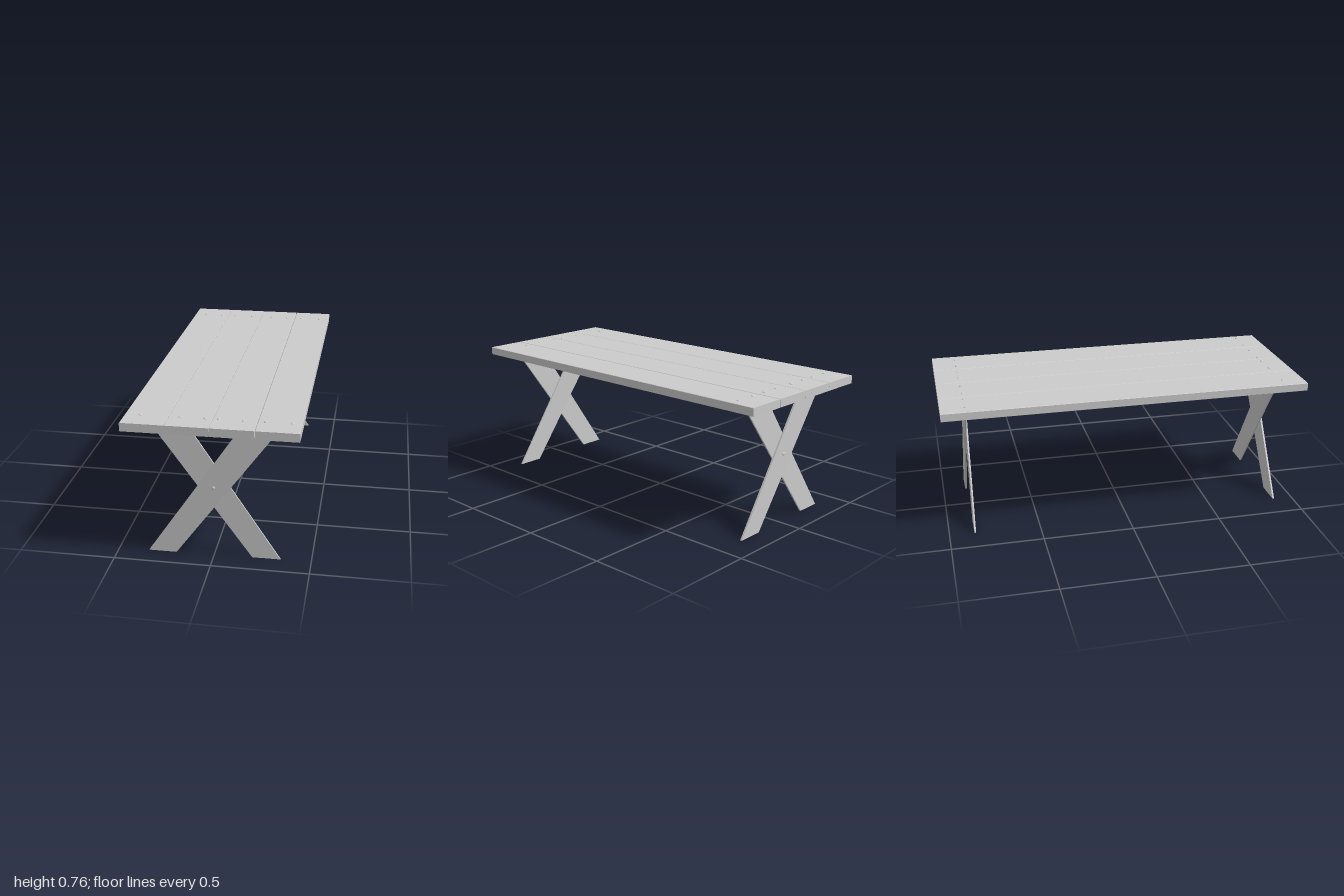
import * as THREE from 'three';

const material = new THREE.MeshStandardMaterial({ color: 0xcccccc });
const TOP = 0.754, UNDER = 0.71;

function addMesh(parent, name, geometry) {
  const mesh = new THREE.Mesh(geometry, material);
  mesh.name = name;
  parent.add(mesh);
  return mesh;
}

function polygon(points) {
  return new THREE.Shape(points.map(([x, y]) => new THREE.Vector2(x, y)));
}

// Long board with finely chamfered edges
function plank(x0, x1) {
  const c = 0.002;
  const shape = polygon([
    [x0 + c, UNDER], [x1 - c, UNDER], [x1, UNDER + c], [x1, TOP - c],
    [x1 - c, TOP], [x0 + c, TOP], [x0, TOP - c], [x0, UNDER + c],
  ]);
  return new THREE.ExtrudeGeometry(shape, { depth: 2, bevelEnabled: false }).translate(0, 0, -1);
}

// Slanted leg board; side = 1 rises to +x, -1 rises to -x; zFoot and zHead set its lean
function legBoard(side, zFoot, zHead, thickness) {
  const points = [[-0.342, 0], [-0.197, 0], [0.32, UNDER], [0.133, UNDER]];
  const shape = polygon(points.map(([x, y]) => [x * side, y]));
  const geometry = new THREE.ExtrudeGeometry(shape, { depth: thickness, bevelEnabled: false });
  const p = geometry.attributes.position;
  for (let i = 0; i < p.count; i++) {
    p.setZ(i, p.getZ(i) + zFoot + (zHead - zFoot) * p.getY(i) / UNDER);
  }
  geometry.computeVertexNormals();
  return geometry;
}

// Low domed bolt head, dome facing +y
function boltHead() {
  return new THREE.SphereGeometry(0.01, 12, 5, 0, Math.PI * 2, 0, Math.PI / 2).scale(1, 0.5, 1);
}

// One crossed pair of legs, outer face towards +z
function crossedLegs(name) {
  const legs = new THREE.Group();
  legs.name = name;
  addMesh(legs, 'outerLeg', legBoard(1, 0.885, 0.885, 0.01));
  addMesh(legs, 'innerLeg', legBoard(-1, 0.878, 0.862, 0.009));
  const bolt = addMesh(legs, 'crossingBolt', boltHead());
  bolt.rotation.x = Math.PI / 2;
  bolt.position.set(0, 0.385, 0.895);
  return legs;
}

export function createModel() {
  const table = new THREE.Group();
  table.name = 'picnicTable';

  // Table top
  const top = new THREE.Group();
  top.name = 'tableTop';
  [[-0.437, -0.2203], [-0.2197, -0.0003], [0.0003, 0.218], [0.222, 0.437]]
    .forEach(([x0, x1], i) => addMesh(top, `plank${i + 1}`, plank(x0, x1)));

  // Bolt rows over the two leg pairs
  const rows = [
    [0.883, [-0.36, -0.16, -0.035, 0.03, 0.152, 0.26, 0.39]],
    [-0.866, [-0.367, -0.258, -0.168, -0.06, 0.07, 0.17, 0.265, 0.38]],
  ];
  for (const [z, xs] of rows) {
    for (const x of xs) addMesh(top, 'topBolt', boltHead()).position.set(x, TOP, z);
  }
  table.add(top);

  // Legs; the back pair is the front pair turned half round
  table.add(crossedLegs('frontLegs'));
  const back = crossedLegs('backLegs');
  back.rotation.y = Math.PI;
  back.position.set(-0.01, 0, 0.023);
  table.add(back);

  return table;
}
